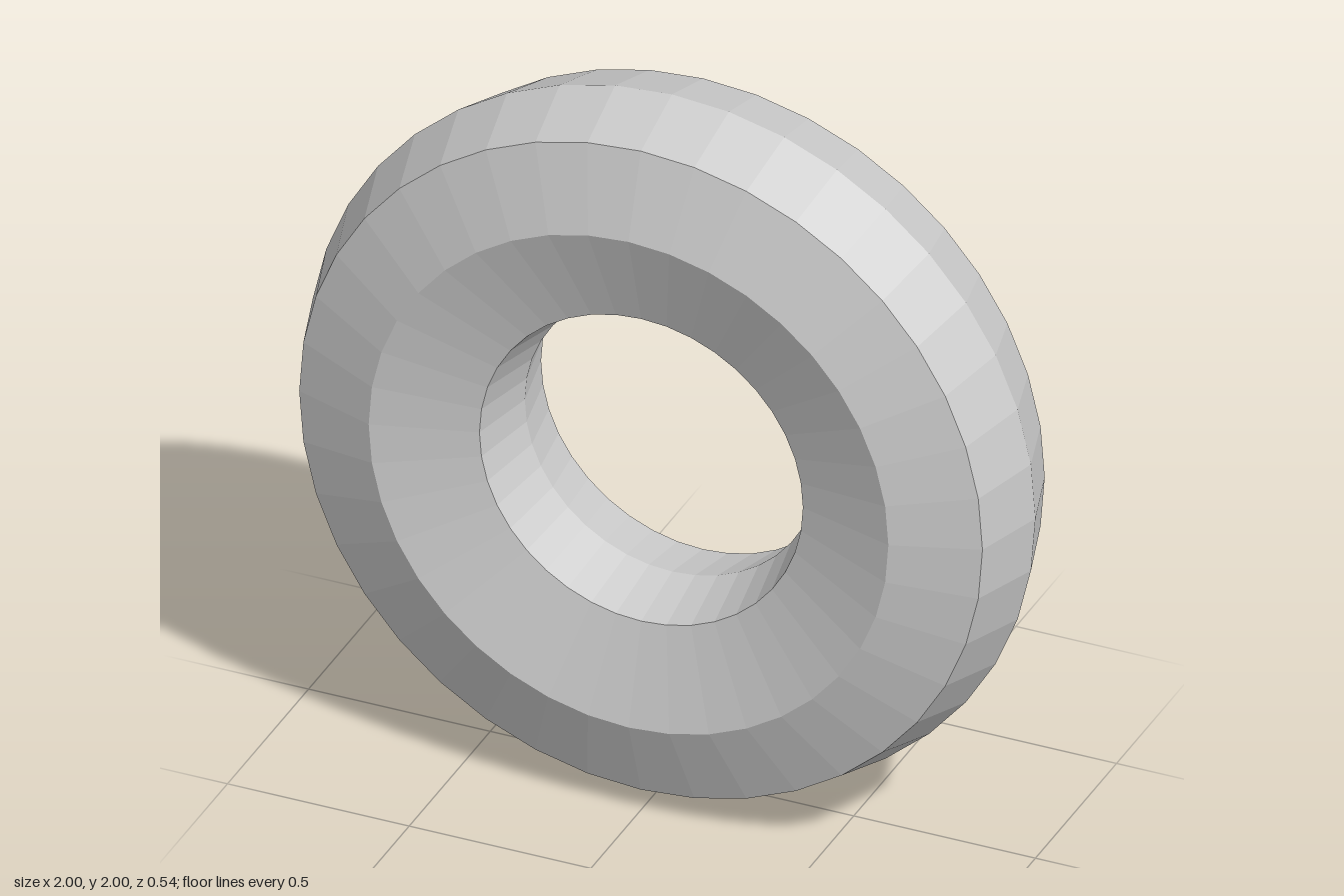
import * as THREE from 'three';

export function createModel() {
  const model = new THREE.Group();
  const material = new THREE.MeshStandardMaterial({ color: 0xcccccc, flatShading: true });

  // Eight-sided cross-section (radius, depth), from the bore round the outside and back
  const profile = [
    [0.405, 0], [0.445, -0.19], [0.715, -0.268], [0.94, -0.192],
    [1, 0], [0.94, 0.192], [0.715, 0.268], [0.445, 0.19], [0.405, 0],
  ].map(([r, d]) => new THREE.Vector2(r, d));

  // Faceted ring, turned so its hole faces the front
  const ring = new THREE.Mesh(new THREE.LatheGeometry(profile, 40), material);
  ring.name = 'ring';
  ring.rotation.x = Math.PI / 2;
  ring.position.y = 1;
  model.add(ring);

  return model;
}
